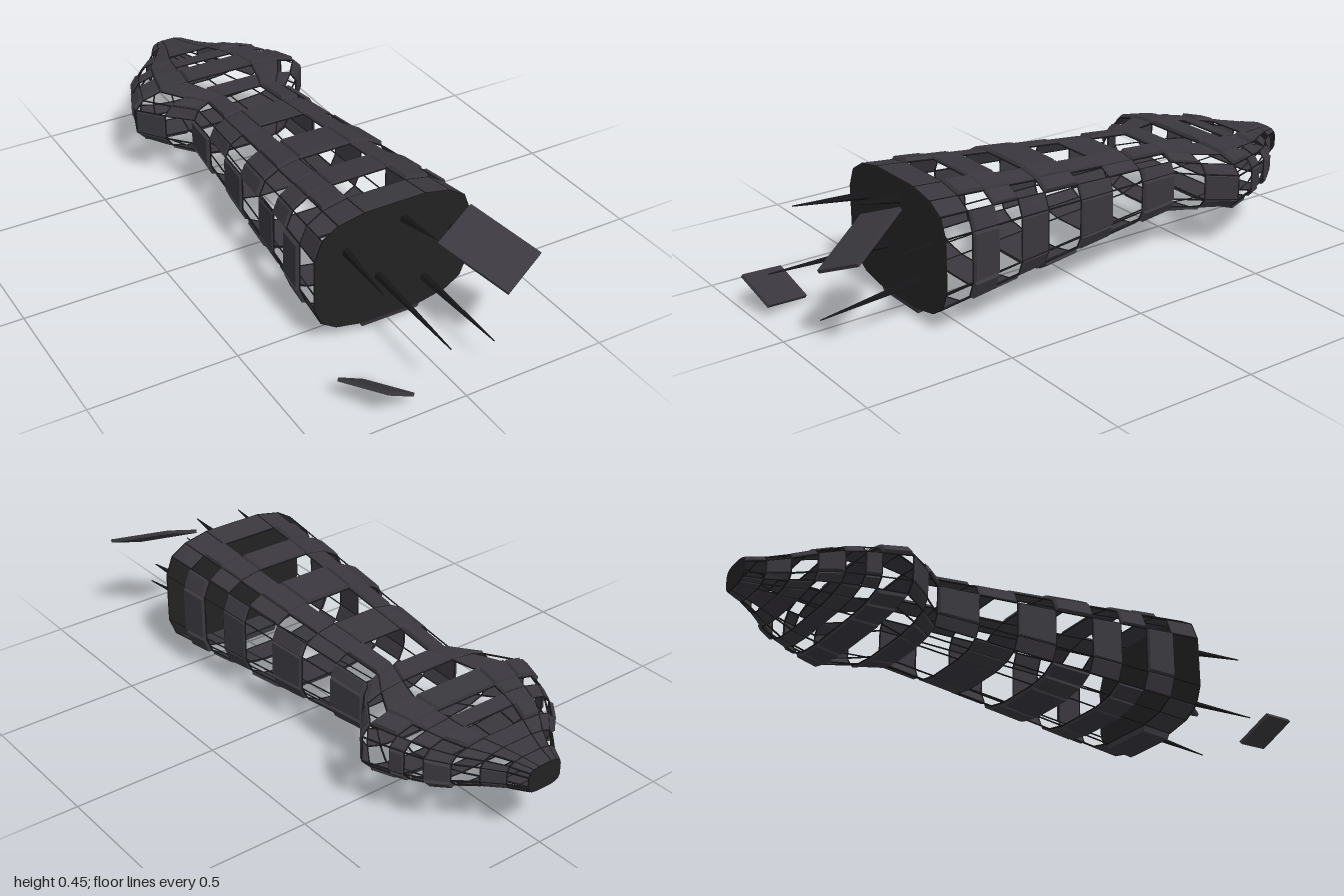
import * as THREE from 'three';
import { mergeGeometries } from 'three/addons/utils/BufferGeometryUtils.js';

const V = (x, y, z) => new THREE.Vector3(x, y, z);
const CENTER_Y = 0.24;

// Hull stations, front to back: z, half width, half height
const STATIONS = [
  [0.585, 0.28, 0.205], [0.48, 0.27, 0.195], [0.38, 0.26, 0.185], [0.28, 0.25, 0.175],
  [0.17, 0.24, 0.164], [0.03, 0.227, 0.15], [-0.11, 0.214, 0.137], [-0.25, 0.201, 0.124],
  [-0.395, 0.188, 0.111], [-0.475, 0.262, 0.106], [-0.565, 0.332, 0.1], [-0.655, 0.3, 0.093],
  [-0.7, 0.282, 0.089], [-0.755, 0.255, 0.081], [-0.82, 0.205, 0.068], [-0.88, 0.145, 0.058],
  [-0.94, 0.095, 0.049], [-0.997, 0.063, 0.041],
];

// One quadrant of the sixteen-sided section, mirrored into a full ring
const Q = [[0.39, 1], [0.71, 0.91], [0.91, 0.74], [1, 0.43]];
const RING = [
  ...Q,
  ...[...Q].reverse().map(([x, y]) => [x, -y]),
  ...Q.map(([x, y]) => [-x, -y]),
  ...[...Q].reverse().map(([x, y]) => [-x, y]),
];
const N = RING.length;
const point = (row, k) => {
  const [z, w, h] = STATIONS[row];
  const [x, y] = RING[(k + N) % N];
  return V(x * w, CENTER_Y + y * h, z);
};

// Bevelled slab standing on a four-cornered base
function slab(base, thick, bevel) {
  const [a, b, c, d] = base;
  const n = c.clone().sub(a).cross(d.clone().sub(b)).normalize();
  const mid = V(0, 0, 0).add(a).add(b).add(c).add(d).multiplyScalar(0.25);
  const top = base.map((p) => {
    const inward = mid.clone().sub(p).normalize();
    return p.clone().addScaledVector(inward, bevel).addScaledVector(n, thick);
  });
  const pos = [];
  const quad = (...q) => [0, 1, 2, 0, 2, 3].forEach((i) => pos.push(q[i].x, q[i].y, q[i].z));
  quad(...top);
  quad(d, c, b, a);
  for (let i = 0; i < 4; i++) {
    const j = (i + 1) % 4;
    quad(base[i], base[j], top[j], top[i]);
  }
  const g = new THREE.BufferGeometry();
  g.setAttribute('position', new THREE.Float32BufferAttribute(pos, 3));
  g.computeVertexNormals();
  return g;
}

// Tapered bar between two points
function bar(p, q, r0, r1, sides) {
  const dir = q.clone().sub(p);
  const g = new THREE.CylinderGeometry(r1, r0, dir.length(), sides, 1);
  const turn = new THREE.Quaternion().setFromUnitVectors(V(0, 1, 0), dir.clone().normalize());
  g.applyQuaternion(turn);
  const m = p.clone().add(q).multiplyScalar(0.5);
  return g.translate(m.x, m.y, m.z);
}

// Bulkhead following the section at a station
function bulkhead(row, thick) {
  const shape = new THREE.Shape(RING.map((_, k) => {
    const p = point(row, k);
    return new THREE.Vector2(p.x, p.y);
  }));
  const g = new THREE.ExtrudeGeometry(shape, { depth: thick, bevelEnabled: false });
  return g.translate(0, 0, STATIONS[row][0] - thick / 2);
}

// Which strips carry a plate in each row: strips are counted clockwise from the top
function hasPlate(row, j) {
  const even = row % 2 === 0;
  if (j === 0 || j === 8) return even || row > 13;
  if (j === 1 || j === 15) return true;
  if (j === 14) return even && row > 0;
  if ([3, 4, 5, 11, 12].includes(j)) return !even;
  return even;
}

export function createModel() {
  const root = new THREE.Group();
  const plateMat = new THREE.MeshStandardMaterial({ color: 0x3a383e, flatShading: true });
  const frameMat = new THREE.MeshStandardMaterial({ color: 0x161618, flatShading: true });
  const bulkheadMat = new THREE.MeshStandardMaterial({ color: 0x222222, flatShading: true });
  plateMat.name = 'plateGrey';
  frameMat.name = 'frameBlack';
  bulkheadMat.name = 'bulkheadGrey';
  const add = (name, geo, mat) => {
    const m = new THREE.Mesh(geo, mat);
    m.name = name;
    root.add(m);
  };

  // Open lattice of ribs and stringers
  const ribs = [], stringers = [], plates = [];
  const last = STATIONS.length - 1;
  for (let r = 0; r <= last; r++) {
    for (let k = 0; k < N; k++) {
      ribs.push(bar(point(r, k), point(r, k + 1), 0.003, 0.003, 4));
      if (r < last) stringers.push(bar(point(r, k), point(r + 1, k), 0.003, 0.003, 4));
    }
  }
  add('ribs', mergeGeometries(ribs), frameMat);
  add('stringers', mergeGeometries(stringers), frameMat);

  // Raised hull plates, thinner towards the nose
  for (let r = 0; r < last; r++) {
    for (let j = 0; j < N; j++) {
      if (!hasPlate(r, j)) continue;
      const base = [point(r, j - 1), point(r, j), point(r + 1, j), point(r + 1, j - 1)];
      let thick = 0.005 + 0.004 * ((r * 5 + j * 3) % 3);
      if (r === 0) thick = j === 8 ? 0.022 : 0.003;
      if (r > 13) thick = 0.004;
      plates.push(slab(base, thick, 0.007));
    }
  }
  add('hullPlates', mergeGeometries(plates), plateMat);

  // End walls
  add('frontBulkhead', bulkhead(0, 0.008), bulkheadMat);
  add('rearBulkhead', bulkhead(last, 0.006), bulkheadMat);

  // Splintered spikes on the front wall: base x, y, then tip x, y, z
  const spikes = [
    [-0.172, 0.328, -0.2, 0.342, 0.84], [-0.055, 0.2, -0.068, 0.202, 1.0],
    [0.03, 0.38, 0.034, 0.405, 0.76], [0.212, 0.286, 0.236, 0.297, 0.73],
    [0.115, 0.133, 0.136, 0.11, 0.94],
  ].map(([x, y, tx, ty, tz]) => bar(V(x, y, 0.585), V(tx, ty, tz), 0.015, 0.002, 5));
  add('spikes', mergeGeometries(spikes), frameMat);

  // Two loose plates drifting ahead of the hull
  add('upperLoosePlate', slab([V(0.055, 0.365, 0.735), V(0.165, 0.277, 0.95),
    V(0.315, 0.34, 0.9), V(0.205, 0.426, 0.685)], 0.012, 0), plateMat);
  add('lowerLoosePlate', slab([V(-0.345, 0.075, 0.83), V(-0.275, 0.115, 0.997),
    V(-0.165, 0.04, 0.965), V(-0.235, 0.0, 0.798)], 0.012, 0), plateMat);

  return root;
}
